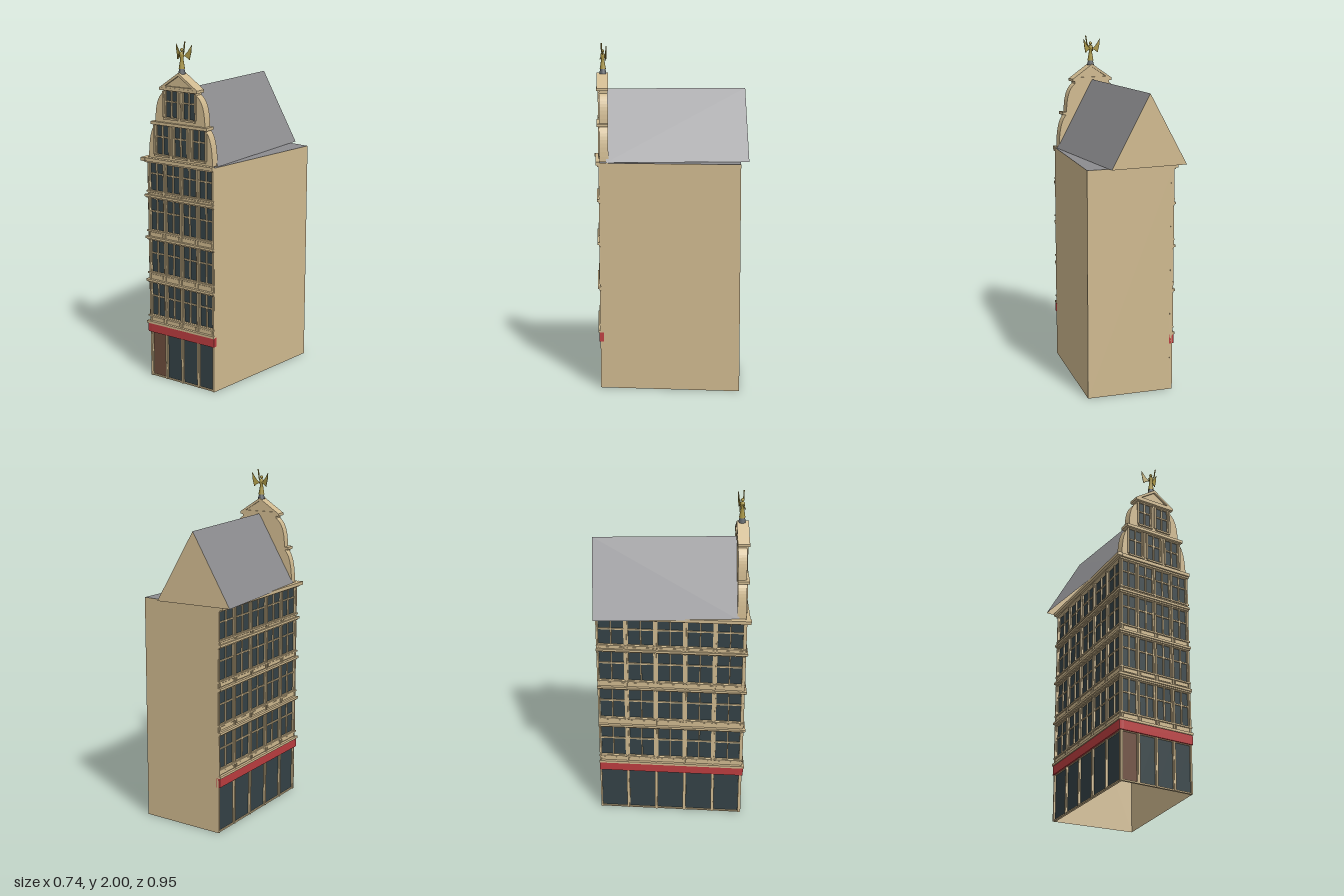
import * as THREE from 'three';

const mat = (name, color, both = true) => {
  const m = new THREE.MeshStandardMaterial({ color, side: both ? THREE.DoubleSide : THREE.FrontSide });
  m.name = name;
  return m;
};

export function createModel() {
  const stone = mat('sandstone', 0xcfb98f), glass = mat('darkGlass', 0x344246);
  const red = mat('redFascia', 0xbb3d3f), slate = mat('greySlate', 0x8c8c8f);
  const wood = mat('brownDoor', 0x6d4d3c), gold = mat('gold', 0xa99645), lead = mat('leadBase', 0x5c6064);

  const add = (parent, name, geo, m) => {
    const mesh = new THREE.Mesh(geo, m);
    mesh.name = name;
    parent.add(mesh);
    return mesh;
  };
  const box = (parent, name, m, x0, x1, y0, y1, z0, z1) => {
    const b = add(parent, name, new THREE.BoxGeometry(x1 - x0, y1 - y0, z1 - z0), m);
    b.position.set((x0 + x1) / 2, (y0 + y1) / 2, (z0 + z1) / 2);
    return b;
  };
  // flat polygon from a fan of corners
  const poly = (parent, name, m, ...pts) => {
    const tris = [];
    for (let i = 1; i < pts.length - 1; i++) tris.push(...pts[0], ...pts[i], ...pts[i + 1]);
    const g = new THREE.BufferGeometry();
    g.setAttribute('position', new THREE.Float32BufferAttribute(tris, 3));
    g.computeVertexNormals();
    return add(parent, name, g, m);
  };
  const rectHole = (x0, x1, y0, y1) => new THREE.Path(
    [[x0, y0], [x1, y0], [x1, y1], [x0, y1]].map(p => new THREE.Vector2(...p)));
  const slab = (parent, name, m, shape, z0, z1) => {
    const s = add(parent, name, new THREE.ExtrudeGeometry(shape, { depth: z1 - z0, bevelEnabled: false, curveSegments: 10 }), m);
    s.position.z = z0;
    return s;
  };

  // pane with centre mullion and transom
  const casement = (parent, x0, x1, y0, y1) => {
    const w = new THREE.Group();
    w.name = 'window';
    parent.add(w);
    const cx = (x0 + x1) / 2, ty = y0 + (y1 - y0) * 0.6, t = 0.004;
    box(w, 'pane', glass, x0, x1, y0, y1, -0.012, -0.01);
    box(w, 'mullion', stone, cx - t, cx + t, y0, y1, -0.01, -0.002);
    box(w, 'transom', stone, x0, x1, ty - t, ty + t, -0.01, -0.003);
    for (const [a, b] of [[x0, x0 + t], [x1 - t, x1]]) box(w, 'jamb', stone, a, b, y0, y1, -0.01, -0.003);
  };

  const H = 1.325;
  const FL = [-0.335, 0.375], FR = [0.117, 0.447], BR = [0.365, -0.32], BL = [-0.125, -0.452];
  const floors = [[0.385, 0.58], [0.65, 0.84], [0.905, 1.09], [1.14, 1.303]];

  // windowed street front running from a to b, outward along local +z
  const facade = (name, a, b, bays, hasDoor, startExt, endExt) => {
    const g = new THREE.Group();
    g.name = name;
    const dx = b[0] - a[0], dz = b[1] - a[1], L = Math.hypot(dx, dz), bay = L / bays, p = 0.009;
    g.position.set(a[0], 0, a[1]);
    g.rotation.y = Math.atan2(-dz, dx);
    const wall = new THREE.Shape([[0, 0], [L, 0], [L, H], [0, H]].map(q => new THREE.Vector2(...q)));
    const ledge = (n, m, y0, y1, out, back = 0) =>
      box(g, n, m, startExt ? -out : 0, L + (endExt ? out : 0.003), y0, y1, back, out);

    for (let i = 0; i < bays; i++) {
      const x0 = i * bay + p, x1 = (i + 1) * bay - p;
      // shop front
      const door = hasDoor && i === 0;
      wall.holes.push(rectHole(x0, x1, 0.008, 0.275));
      box(g, door ? 'door' : 'shopWindow', door ? wood : glass, x0, x1, 0.008, 0.275, -0.012, -0.008);
      // upper windows with a sunken panel under each
      for (const [y0, y1] of floors) {
        wall.holes.push(rectHole(x0, x1, y0, y1));
        casement(g, x0, x1, y0, y1);
        box(g, 'apronPanel', stone, x0 + 0.006, x1 - 0.006, y0 - 0.034, y0 - 0.014, 0, 0.005);
      }
    }
    slab(g, 'streetWall', stone, wall, -0.014, 0);
    // pilasters
    for (let i = 0; i <= bays; i++) {
      const c = Math.min(Math.max(i * bay, 0.006), L - 0.006);
      box(g, 'shopPier', stone, c - 0.005, c + 0.005, 0, 0.28, 0, 0.004);
      for (const [y0, y1] of floors) box(g, 'pilaster', stone, c - 0.005, c + 0.005, y0 - 0.04, y1, 0, 0.006);
    }
    ledge('redFascia', red, 0.278, 0.332, 0.01, -0.016);
    ledge('fasciaMoulding', stone, 0.332, 0.346, 0.016);
    floors.forEach(([y0, y1], i) => {
      ledge('sill', stone, y0 - 0.011, y0 - 0.002, 0.009);
      if (i < 3) {
        ledge('lintelMoulding', stone, y1 + 0.004, y1 + 0.012, 0.008);
        ledge('stringCourse', stone, y1 + 0.012, y1 + 0.025, 0.016);
      }
    });
    ledge('corniceBed', stone, 1.303, 1.312, 0.014);
    ledge('cornice', stone, 1.312, 1.332, endExt ? 0.03 : 0.024);
    return g;
  };

  const model = new THREE.Group();
  model.name = 'cornerHouse';
  const front = facade('frontFacade', FL, FR, 4, true, true, false);
  const side = facade('sideFacade', BL, FL, 5, false, false, true);
  model.add(front, side);

  // plain party walls and flat roof deck
  const at = ([x, z], y) => [x, y, z];
  poly(model, 'partyWall', stone, at(FR, 0), at(BR, 0), at(BR, H), at(FR, H));
  poly(model, 'backWall', stone, at(BR, 0), at(BL, 0), at(BL, H), at(BR, H));
  poly(model, 'roofDeck', slate, at(FL, H), at(FR, H), at(BR, H), at(BL, H));

  // pitched roof, open underneath
  const e = H + 0.002, R = 1.737;
  const fl = [-0.33, e, 0.335], fr = [0.125, e, 0.41], br = [0.255, e, -0.4], bl = [-0.2, e, -0.475];
  const rf = [-0.102, R, 0.372], rb = [0.027, R, -0.437];
  poly(model, 'roofSlope', slate, fl, rf, rb, bl);
  poly(model, 'roofSlope', slate, fr, br, rb, rf);
  poly(model, 'backGable', stone, bl, rb, br);
  poly(model, 'innerGable', stone, fl, fr, rf);

  // ornamental front gable, centred on the facade
  const gable = new THREE.Group();
  gable.name = 'frontGable';
  gable.position.x = 0.229;
  front.add(gable);
  const outline = () => {
    const s = new THREE.Shape();
    s.moveTo(-0.22, 1.33);
    s.lineTo(0.22, 1.33);
    s.bezierCurveTo(0.218, 1.43, 0.205, 1.5, 0.17, 1.53);
    s.lineTo(0.17, 1.545);
    s.bezierCurveTo(0.168, 1.64, 0.15, 1.69, 0.112, 1.715);
    s.lineTo(0.112, 1.735);
    s.lineTo(-0.112, 1.735);
    s.lineTo(-0.112, 1.715);
    s.bezierCurveTo(-0.15, 1.69, -0.168, 1.64, -0.17, 1.545);
    s.lineTo(-0.17, 1.53);
    s.bezierCurveTo(-0.205, 1.5, -0.218, 1.43, -0.22, 1.33);
    return s;
  };
  slab(gable, 'gableBack', stone, outline(), -0.05, -0.018);
  const face = outline();
  const gableWindow = (c, hw, y0, y1) => {
    face.holes.push(rectHole(c - hw, c + hw, y0, y1));
    casement(gable, c - hw, c + hw, y0, y1);
    box(gable, 'gableSill', stone, c - hw - 0.006, c + hw + 0.006, y0 - 0.012, y0 - 0.002, 0, 0.01);
    for (const s of [-1, 1]) {
      const q = c + s * (hw + 0.007);
      box(gable, 'gablePilaster', stone, q - 0.005, q + 0.005, y0, y1, 0, 0.007);
    }
  };
  for (const c of [-0.125, 0, 0.125]) gableWindow(c, 0.045, 1.357, 1.523);
  for (const c of [-0.06, 0.06]) gableWindow(c, 0.042, 1.575, 1.722);
  slab(gable, 'gableFace', stone, face, -0.018, 0);
  box(gable, 'middleCornice', stone, -0.192, 0.192, 1.528, 1.545, -0.05, 0.016);
  box(gable, 'upperCornice', stone, -0.128, 0.128, 1.728, 1.743, -0.053, 0.016);
  const tri = (w, y0, y1) => new THREE.Shape([[-w, y0], [w, y0], [0, y1]].map(q => new THREE.Vector2(...q)));
  const pediment = tri(0.128, 1.743, 1.83);
  pediment.holes.push(new THREE.Path(tri(0.092, 1.752, 1.813).getPoints()));
  slab(gable, 'pedimentRim', stone, pediment, -0.053, 0.014);
  slab(gable, 'pedimentField', stone, tri(0.1, 1.745, 1.818), -0.045, 0.002);

  // winged roof figure
  const statue = new THREE.Group();
  statue.name = 'wingedFigure';
  statue.position.set(0, 1.82, -0.024);
  gable.add(statue);
  add(statue, 'figureBase', new THREE.CylinderGeometry(0.014, 0.022, 0.03, 10), lead).position.y = 0.017;
  const robe = [[0.018, 0.03], [0.013, 0.06], [0.009, 0.085], [0.014, 0.105], [0.012, 0.118], [0.005, 0.124]];
  add(statue, 'robe', new THREE.LatheGeometry(robe.map(q => new THREE.Vector2(...q)), 10), gold);
  add(statue, 'head', new THREE.SphereGeometry(0.0095, 10, 8), gold).position.y = 0.134;
  for (const s of [-1, 1]) {
    const wing = new THREE.Shape([[0.006, 0.1], [0.028, 0.122], [0.054, 0.162], [0.05, 0.12], [0.04, 0.078], [0.024, 0.092]]
      .map(([x, y]) => new THREE.Vector2(s * x, y)));
    const w = slab(statue, 'wing', gold, wing, -0.012, -0.008);
    w.rotation.y = s * 0.2;
  }
  const arm = (pts, r) => add(statue, 'arm', new THREE.TubeGeometry(
    new THREE.CatmullRomCurve3(pts.map(q => new THREE.Vector3(...q))), 6, r, 6), gold);
  arm([[0.01, 0.113, 0], [0.02, 0.13, 0.006], [0.024, 0.16, 0.008], [0.028, 0.18, 0.008]], 0.0035);
  arm([[-0.01, 0.113, 0], [-0.02, 0.098, 0.008], [-0.018, 0.085, 0.016]], 0.0035);

  return model;
}
